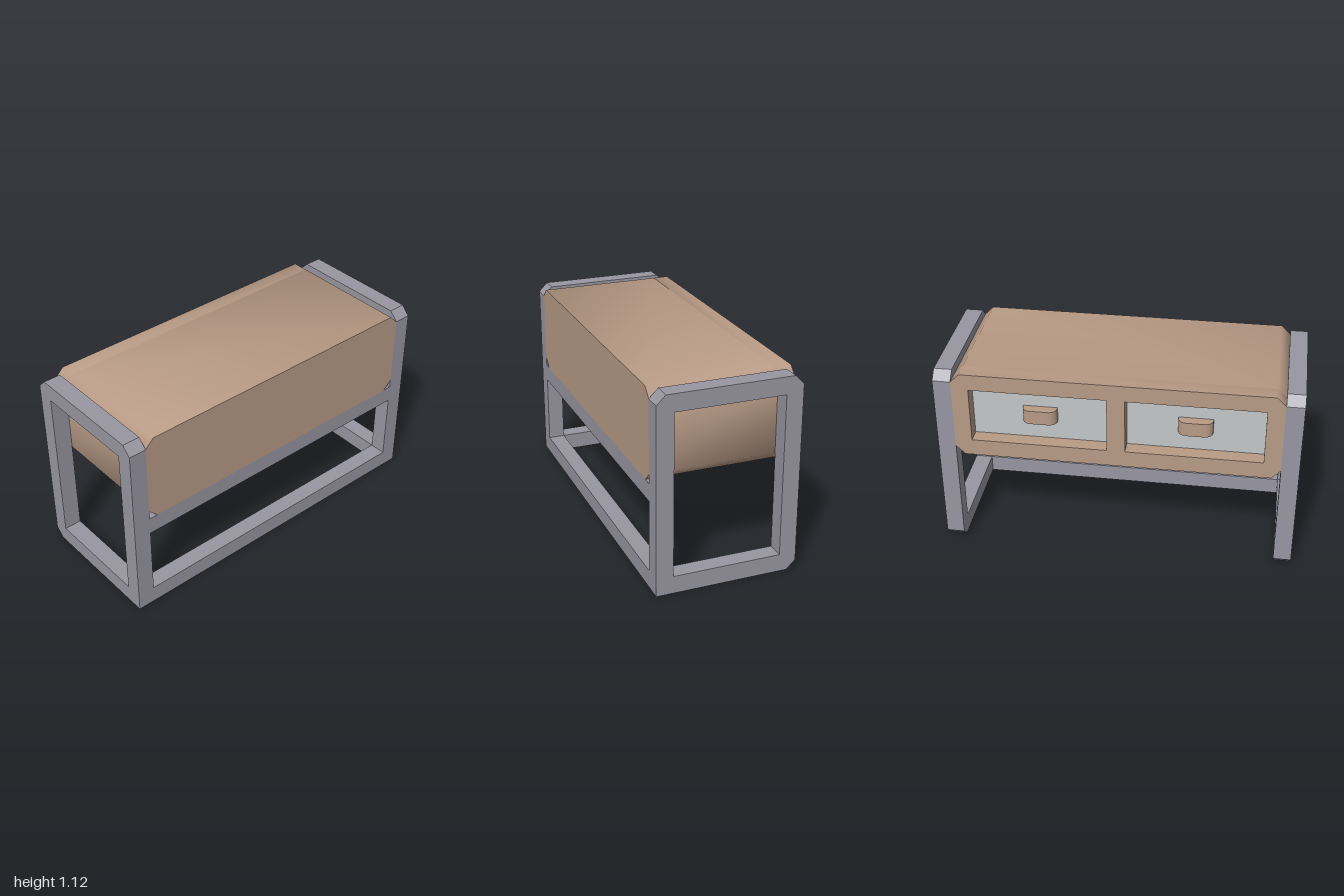
import * as THREE from 'three';
import { toCreasedNormals } from 'three/addons/utils/BufferGeometryUtils.js';

const wood = new THREE.MeshStandardMaterial({ name: 'wood', color: 0xb89b86 });
const metal = new THREE.MeshStandardMaterial({ name: 'greyFrame', color: 0x9896a1 });
const panel = new THREE.MeshStandardMaterial({ name: 'drawerPanel', color: 0xc2c7c9 });

const H = 1.116; // overall height
const BOTTOM = 0.605; // underside of the cabinet
const C = 0.05; // corner cut

const shapeOf = (pts) => new THREE.Shape(pts.map(([x, y]) => new THREE.Vector2(x, y)));

function rectHole(x0, x1, y0, y1) {
  return new THREE.Path([[x0, y0], [x0, y1], [x1, y1], [x1, y0]].map(([x, y]) => new THREE.Vector2(x, y)));
}

function extrude(shape, depth, curveSegments = 6) {
  return new THREE.ExtrudeGeometry(shape, { depth, bevelEnabled: false, curveSegments });
}

function add(parent, name, geometry, material, x = 0, y = 0, z = 0) {
  const mesh = new THREE.Mesh(geometry, material);
  mesh.name = name;
  mesh.position.set(x, y, z);
  parent.add(mesh);
  return mesh;
}

// Cabinet outline in the z-y plane, with four cut corners
function cabinetOutline() {
  const w = 0.9;
  return shapeOf([
    [-w + C, BOTTOM], [w - C, BOTTOM], [w, BOTTOM + C], [w, H - C],
    [w - C, H], [-w + C, H], [-w, H - C], [-w, BOTTOM + C],
  ]);
}

// Turns an extrusion so that its depth runs along x
const alongX = (geometry) => toCreasedNormals(geometry.rotateY(Math.PI / 2), Math.PI / 3);

export function createModel() {
  const group = new THREE.Group();
  group.name = 'drawerBench';

  // End frames: square at the rail corner, cut at the other three
  for (const [name, z] of [['frontFrame', 0.9], ['backFrame', -1]]) {
    const outline = shapeOf([
      [-0.4 + C, 0], [0.4, 0], [0.4, H - C], [0.4 - C, H],
      [-0.4 + C, H], [-0.4, H - C], [-0.4, C],
    ]);
    outline.holes.push(rectHole(-0.304, 0.304, 0.1, 1.018));
    add(group, name, extrude(outline, 0.1), metal, 0, 0, z);
  }

  // Two long rails on the left side
  const rail = new THREE.BoxGeometry(0.096, 0.1, 1.8);
  add(group, 'lowerRail', rail, metal, 0.352, 0.05, 0);
  add(group, 'upperRail', rail, metal, 0.352, BOTTOM - 0.05, 0);

  // Cabinet: solid body plus a drawer surround with two recesses
  const recess = 0.09;
  const cabinet = new THREE.Group();
  cabinet.name = 'cabinet';
  group.add(cabinet);
  add(cabinet, 'cabinetBody', alongX(extrude(cabinetOutline(), 0.8 - recess)), wood, -0.4 + recess);
  const surround = cabinetOutline();
  surround.holes.push(rectHole(-0.805, -0.05, 0.702, 1.022), rectHole(0.05, 0.805, 0.702, 1.022));
  add(cabinet, 'drawerSurround', alongX(extrude(surround, recess)), wood, -0.4);

  // Handle plan: flat against the drawer with rounded outer corners
  const plan = new THREE.Shape();
  const hw = 0.095, d = 0.06, r = 0.045;
  plan.moveTo(0, -hw);
  plan.lineTo(0, hw);
  plan.lineTo(-d + r, hw);
  plan.absarc(-d + r, hw - r, r, Math.PI / 2, Math.PI, false);
  plan.lineTo(-d, -hw + r);
  plan.absarc(-d + r, -hw + r, r, Math.PI, Math.PI * 1.5, false);
  plan.closePath();
  const handle = toCreasedNormals(extrude(plan, 0.082).rotateX(-Math.PI / 2), Math.PI / 4);

  // Drawer panels and handles
  for (const side of [-1, 1]) {
    const z = side * 0.4275;
    add(cabinet, 'drawerPanel', new THREE.BoxGeometry(0.006, 0.32, 0.755), panel, -0.4 + recess - 0.003, 0.862, z);
    add(cabinet, 'drawerHandle', handle, wood, -0.4 + recess - 0.004, 0.819, z);
  }
  return group;
}
